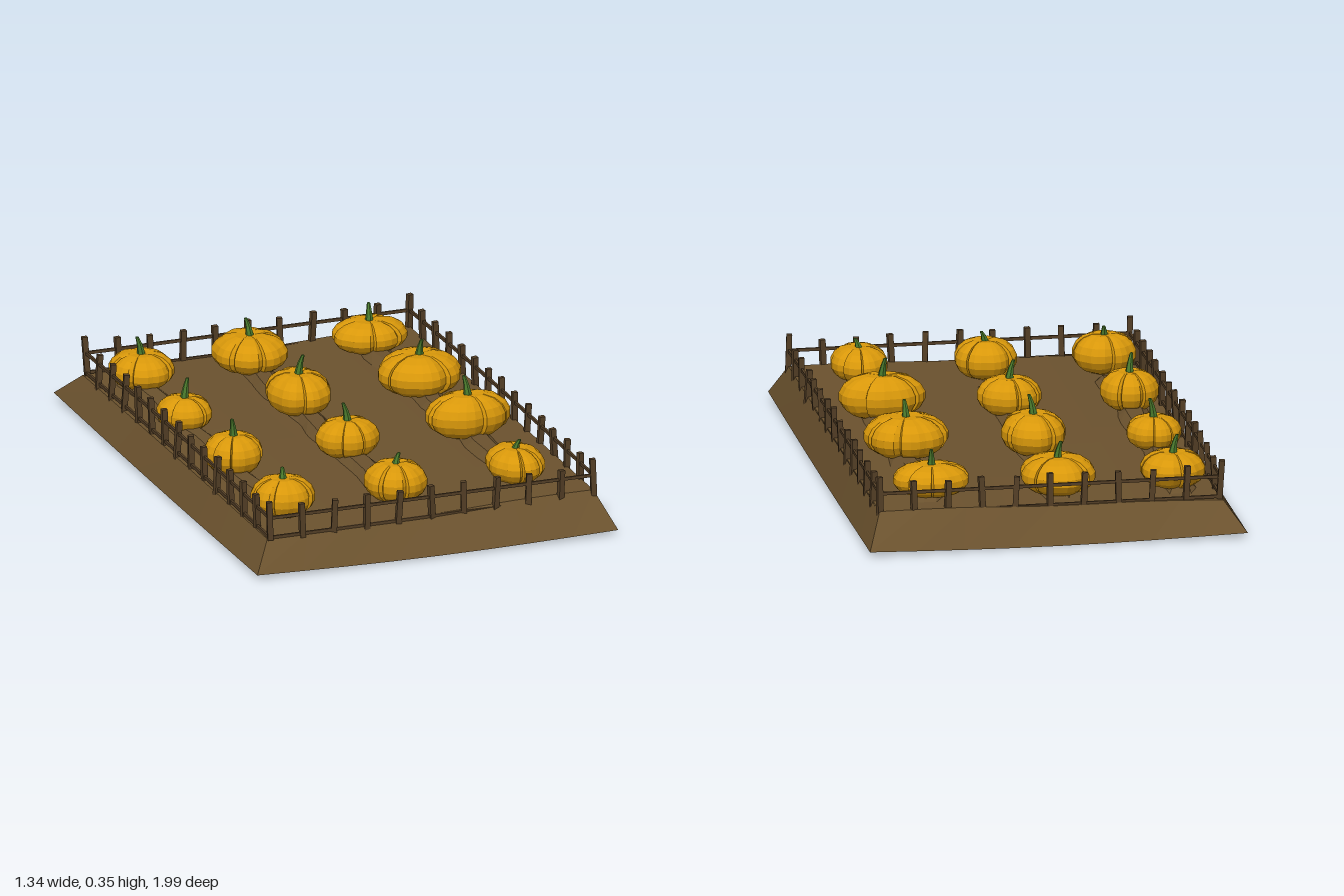
import * as THREE from 'three';

const mat = (name, color, extra = {}) => {
  const m = new THREE.MeshStandardMaterial({ color, flatShading: true, ...extra });
  m.name = name;
  return m;
};

// Small seeded generator for hand-made irregularity
let seed = 7;
const rand = () => {
  seed = (seed * 16807) % 2147483647;
  return seed / 2147483647 - 0.5;
};

// Plot limits and gently uneven soil height
const X0 = -0.6, X1 = 0.615, Z0 = -0.895, Z1 = 0.89;
const soilY = (x, z) => 0.127 + 0.011 * (x / 0.6) + 0.003 * (z / 0.89) + 0.003 * Math.cos(z * 2) - 0.003 * Math.cos(x * 9);
const fenceY = (z) => 0.124 + 0.01 * (1 - (z / 0.89) ** 2);

function add(parent, name, geometry, material) {
  const mesh = new THREE.Mesh(geometry, material);
  mesh.name = name;
  parent.add(mesh);
  return mesh;
}

// Joins a list of equal-length rows of [x, y, z] into a surface
function loft(rows) {
  const n = rows[0].length, index = [];
  for (let i = 0; i < rows.length - 1; i++) {
    for (let j = 0; j < n - 1; j++) {
      const a = i * n + j, b = a + n;
      index.push(a, b, a + 1, b, b + 1, a + 1);
    }
  }
  const g = new THREE.BufferGeometry();
  g.setAttribute('position', new THREE.Float32BufferAttribute(rows.flat(2), 3));
  g.setIndex(index);
  g.computeVertexNormals();
  return g;
}

// Squashed sphere with full lobes, narrow grooves and a dimple at the stem
function pumpkinGeometry(rx, ry, rz, turn) {
  const lobes = 8, steps = [0, 0.07, 0.36, 0.64, 0.93], depth = [0.13, 0.03, 0, 0, 0.03];
  const g = new THREE.SphereGeometry(1, lobes * steps.length, 9);
  const p = g.attributes.position, columns = lobes * steps.length + 1;
  for (let i = 0; i < p.count; i++) {
    const column = i % columns, k = column % steps.length;
    const lobe = Math.floor(column / steps.length);
    const a = ((lobe + steps[k]) / lobes) * Math.PI * 2 + turn + 0.12 * Math.sin((lobe % lobes) * 2.3);
    const y = p.getY(i), r = Math.hypot(p.getX(i), p.getZ(i));
    const out = Math.pow(r, 0.85) * (1 - depth[k]);
    const dimple = y > 0 ? 0.13 * Math.exp(-r * r * 14) : 0;
    p.setXYZ(i, -Math.cos(a) * out * rx, (y * (1 - depth[k] * r * 0.8) - dimple) * ry, Math.sin(a) * out * rz);
  }
  g.computeVertexNormals();
  return g;
}

export function createModel() {
  const model = new THREE.Group();
  model.name = 'pumpkinPatch';
  seed = 7;
  const soil = mat('soil brown', 0x6b522e, { side: THREE.DoubleSide });
  const wood = mat('dark wood', 0x543f26);
  const skin = mat('pumpkin orange', 0xd9980a);
  const green = mat('stem green', 0x4a7a2c);

  // Top of the bed
  const nx = 8, nz = 10;
  const top = new THREE.PlaneGeometry(X1 - X0, Z1 - Z0, nx, nz).rotateX(-Math.PI / 2);
  top.translate((X0 + X1) / 2, 0, (Z0 + Z1) / 2);
  const tp = top.attributes.position;
  for (let i = 0; i < tp.count; i++) tp.setY(i, soilY(tp.getX(i), tp.getZ(i)));
  top.computeVertexNormals();
  add(model, 'bedTop', top, soil);

  // Sloping banks, open underneath
  const bank = (name, ax, az, bx, bz, n, sag) => {
    const upper = [], lower = [];
    for (let i = 0; i <= n; i++) {
      const t = i / n;
      const x = ax + (bx - ax) * t, z = az + (bz - az) * t;
      const ox = (x - (X0 + X1) / 2) / (X1 - X0) * 1.335;
      const oz = z > 0 ? z / Z1 * (0.982 + 0.012 * x / 0.6) : z / -Z0;
      const end = Math.sin(t * Math.PI);
      upper.push([x, soilY(x, z), z]);
      lower.push([ox, 0.018 - sag * end, oz + (az === bz && z < 0 ? 0.02 * end : 0)]);
    }
    add(model, name, loft([upper, lower]), soil);
  };
  bank('frontBank', X0, Z1, X1, Z1, nx, 0.012);
  bank('leftBank', X1, Z1, X1, Z0, nz, 0.006);
  bank('backBank', X1, Z0, X0, Z0, nx, 0.018);
  bank('rightBank', X0, Z0, X0, Z1, nz, 0.006);

  // Low planting ridges under each row, sunk into the soil
  for (const cx of [-0.47, -0.045, 0.415]) {
    const rows = [];
    for (let i = 0; i <= 14; i++) {
      const z = -0.85 + i * 0.108, drift = 0.01 * Math.sin(i * 1.3 + cx * 5);
      const lift = i === 0 || i === 14 ? -0.012 : 0.024;
      rows.push([[-0.07, -0.012], [-0.026, lift], [0.026, lift], [0.07, -0.012]].map(([dx, dy]) => {
        const x = cx + dx + drift + rand() * 0.012;
        return [x, soilY(x, z) + dy, z];
      }));
    }
    add(model, 'plantingRidge', loft(rows), soil);
  }

  // Fence: leaning posts joined by two rails
  const fence = new THREE.Group();
  fence.name = 'fence';
  model.add(fence);
  const rail = (a, b, dy) => {
    const p = new THREE.Vector3(a[0], fenceY(a[1]) + dy, a[1]);
    const q = new THREE.Vector3(b[0], fenceY(b[1]) + dy, b[1]);
    const m = add(fence, 'fenceRail', new THREE.BoxGeometry(0.008, 0.011, p.distanceTo(q) + 0.006), wood);
    m.position.copy(p).lerp(q, 0.5);
    m.lookAt(q);
  };
  const fx0 = -0.592, fx1 = 0.613, fz0 = -0.885, fz1 = 0.893;
  const corners = [[fx0, fz1], [fx1, fz1], [fx1, fz0], [fx0, fz0]];
  corners.forEach((a, side) => {
    const b = corners[(side + 1) % 4], n = side % 2 ? 14 : 10;
    let previous = a;
    for (let i = 0; i < n; i++) {
      const t = i / n, u = (i + 1) / n;
      const x = a[0] + (b[0] - a[0]) * t, z = a[1] + (b[1] - a[1]) * t;
      const high = i === 0 ? 0.13 : 0.11 + rand() * 0.012, low = i === 0 ? -0.01 : -0.03;
      const post = add(fence, 'fencePost', new THREE.BoxGeometry(0.02, high - low, 0.018), wood);
      post.position.set(x, fenceY(z) + (high + low) / 2, z);
      post.rotation.set(rand() * 0.12, rand() * 0.5, rand() * 0.14);
      const next = [a[0] + (b[0] - a[0]) * u, a[1] + (b[1] - a[1]) * u];
      rail(previous, next, 0.07);
      rail(previous, next, -0.002);
      previous = next;
    }
  });

  // Pumpkins: x, z, half width, half depth, top height, stem tip height
  const patch = [
    [-0.455, -0.705, 0.115, 0.125, 0.245, 0.3], [-0.045, -0.72, 0.134, 0.144, 0.255, 0.305], [0.4, -0.72, 0.137, 0.114, 0.25, 0.3],
    [-0.47, -0.25, 0.098, 0.102, 0.24, 0.3], [-0.045, -0.25, 0.114, 0.137, 0.275, 0.333], [0.405, -0.25, 0.15, 0.142, 0.288, 0.335],
    [-0.47, 0.225, 0.104, 0.11, 0.265, 0.32], [-0.045, 0.225, 0.114, 0.104, 0.265, 0.32], [0.405, 0.22, 0.154, 0.11, 0.3, 0.355],
    [-0.465, 0.69, 0.114, 0.109, 0.265, 0.29], [-0.045, 0.69, 0.112, 0.114, 0.265, 0.29], [0.4, 0.69, 0.102, 0.127, 0.263, 0.285],
  ];
  patch.forEach(([x, z, rx, rz, high, tip], i) => {
    const pumpkin = new THREE.Group();
    pumpkin.name = 'pumpkin';
    const low = soilY(x, z) - 0.006, ry = (high - low) / 2;
    pumpkin.position.set(x, low + ry, z);
    model.add(pumpkin);
    add(pumpkin, 'pumpkinBody', pumpkinGeometry(rx, ry, rz, i * 0.7), skin);
    // Tapered stem bent to one side
    const length = tip - high + 0.025;
    const g = new THREE.CylinderGeometry(0.006, 0.017, length, 6, 3).translate(0, length / 2, 0);
    const p = g.attributes.position, dir = Math.PI + i * 0.9;
    for (let k = 0; k < p.count; k++) {
      const bend = 0.016 * Math.pow(p.getY(k) / length, 2);
      p.setX(k, p.getX(k) + Math.cos(dir) * bend);
      p.setZ(k, p.getZ(k) + Math.sin(dir) * bend);
    }
    g.computeVertexNormals();
    add(pumpkin, 'pumpkinStem', g, green).position.y = ry - 0.025;
  });

  return model;
}
